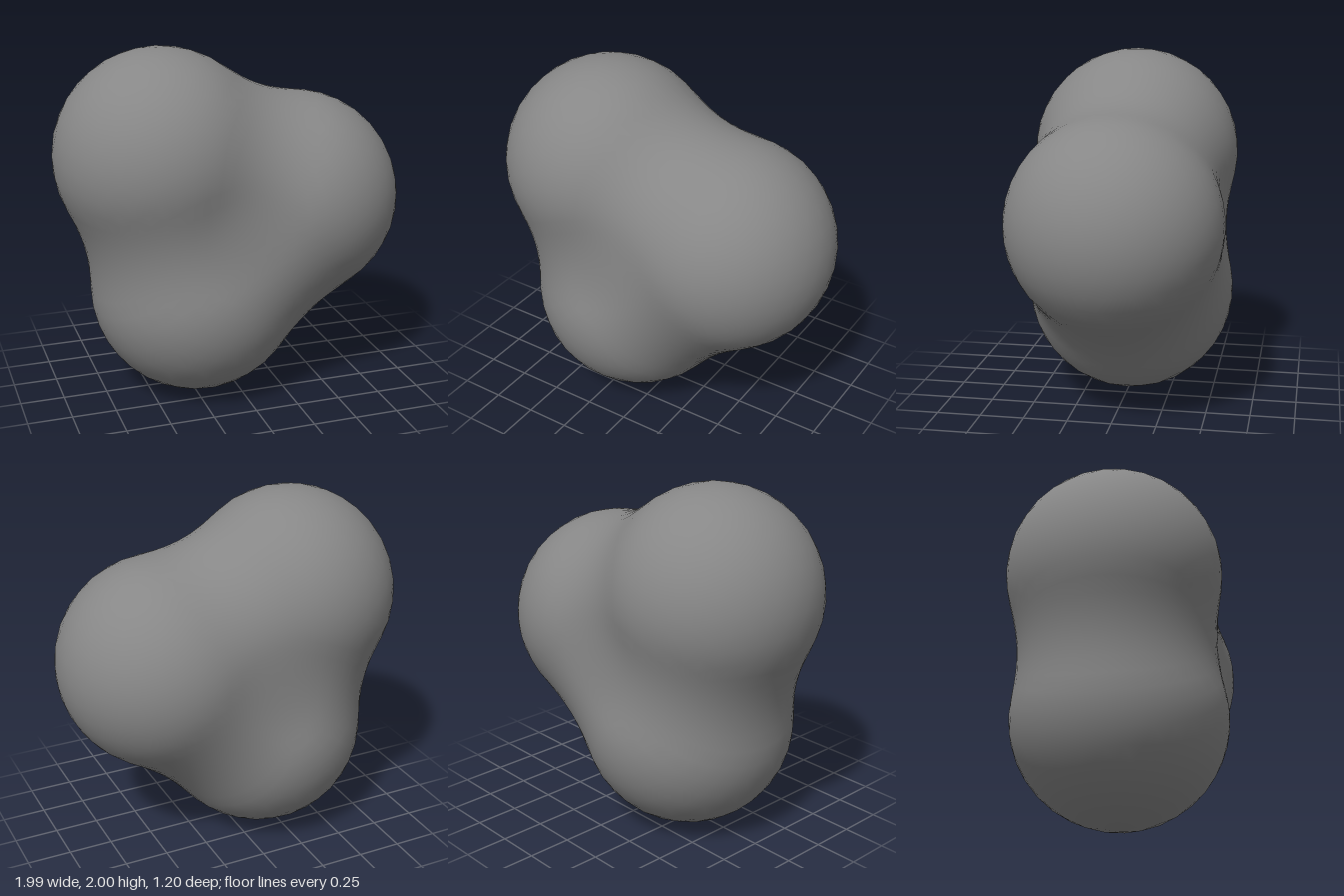
import * as THREE from 'three';

// Three equal balls that melt into one another
const RADIUS = 0.603;
const REACH = 0.94;
const balls = [
  new THREE.Vector3(-0.395, 1.395, 0),
  new THREE.Vector3(0.39, 1.1, 0),
  new THREE.Vector3(-0.205, 0.6, 0),
];

const falloff = (d2) => Math.max(0, 1 - d2 / (REACH * REACH));
const LEVEL = falloff(RADIUS * RADIUS) ** 3;

const field = (p) => balls.reduce((sum, b) => sum + falloff(p.distanceToSquared(b)) ** 3, 0);

// Outward direction of the field, used for smooth normals
function outward(p) {
  const n = new THREE.Vector3();
  for (const b of balls) {
    n.addScaledVector(p.clone().sub(b), falloff(p.distanceToSquared(b)) ** 2);
  }
  return n.normalize();
}

// Push every vertex of a round shell out to the merged surface
function blobGeometry() {
  const geometry = new THREE.IcosahedronGeometry(1, 10);
  const position = geometry.attributes.position;
  const normal = geometry.attributes.normal;
  const centre = new THREE.Vector3(-0.06, 1.03, 0);
  const dir = new THREE.Vector3();
  const p = new THREE.Vector3();
  for (let i = 0; i < position.count; i++) {
    dir.fromBufferAttribute(position, i).normalize();
    let inside = 0;
    let outside = 1.6;
    for (let step = 0; step < 30; step++) {
      const mid = (inside + outside) / 2;
      p.copy(centre).addScaledVector(dir, mid);
      if (field(p) > LEVEL) inside = mid;
      else outside = mid;
    }
    p.copy(centre).addScaledVector(dir, inside);
    position.setXYZ(i, p.x, p.y, p.z);
    const n = outward(p);
    normal.setXYZ(i, n.x, n.y, n.z);
  }
  return geometry;
}

export function createModel() {
  const group = new THREE.Group();
  group.name = 'mergedBlob';
  const blob = new THREE.Mesh(
    blobGeometry(),
    new THREE.MeshStandardMaterial({ color: 0x878787 })
  );
  blob.name = 'blobBody';
  group.add(blob);
  return group;
}
